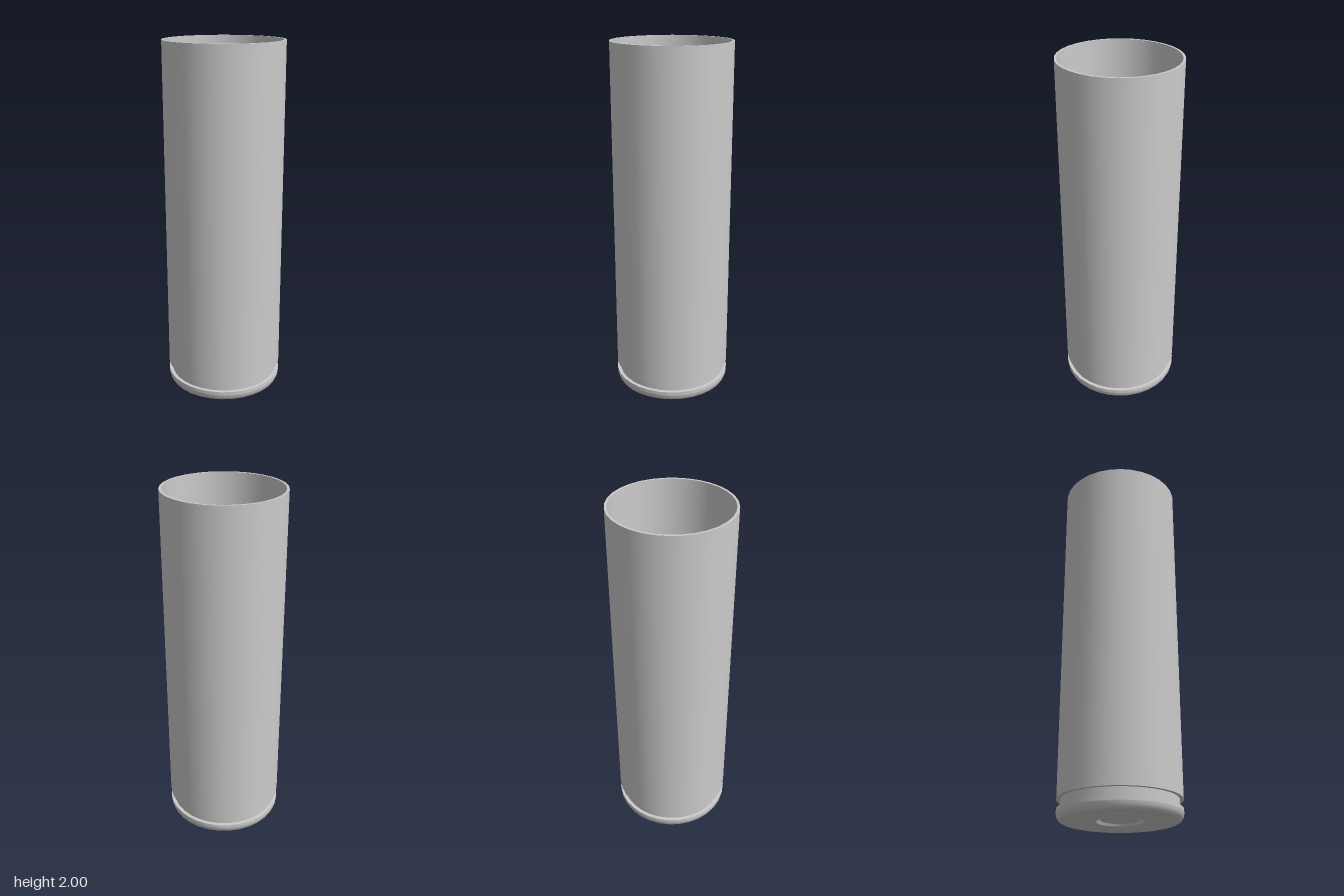
import * as THREE from 'three';
import { mergeGeometries } from 'three/addons/utils/BufferGeometryUtils.js';

const SIDES = 32;

// Revolve several profile runs; each run is smooth, with a sharp edge between runs.
function revolve(name, runs) {
  const material = new THREE.MeshStandardMaterial({ color: 0xcccccc, side: THREE.DoubleSide });
  const parts = runs.map((run) =>
    new THREE.LatheGeometry(run.map(([r, y]) => new THREE.Vector2(r, y)), SIDES));
  const mesh = new THREE.Mesh(mergeGeometries(parts), material);
  mesh.name = name;
  return mesh;
}

export function createModel() {
  const group = new THREE.Group();
  group.name = 'cartridgeCase';

  // Primer cup with a dimple struck into its centre
  group.add(revolve('primer', [
    [[0, 0.025], [0.035, 0.02], [0.06, 0.008]],
    [[0.06, 0.008], [0.1, 0.008]],
    [[0.1, 0.008], [0.115, 0.022]],
  ]));

  // Flat base around the primer, with a fine seam ring
  group.add(revolve('base', [
    [[0.115, 0.022], [0.125, 0]],
    [[0.125, 0], [0.2, 0]],
    [[0.2, 0], [0.204, 0.004], [0.208, 0]],
    [[0.208, 0], [0.31, 0]],
  ]));

  // Rim with rounded lower edge, then the extractor groove
  group.add(revolve('rim', [
    [[0.31, 0], [0.322, 0.008], [0.33, 0.025], [0.333, 0.04]],
    [[0.333, 0.04], [0.333, 0.06]],
    [[0.333, 0.06], [0.313, 0.06]],
  ]));
  group.add(revolve('extractorGroove', [
    [[0.313, 0.06], [0.313, 0.11]],
    [[0.313, 0.11], [0.333, 0.11]],
  ]));

  // Long straight wall and the mouth
  group.add(revolve('outerWall', [[[0.333, 0.11], [0.333, 2]]]));
  group.add(revolve('mouth', [[[0.333, 2], [0.32, 2]]]));

  // Inside wall, thickening toward the floor
  group.add(revolve('innerWall', [
    [[0.32, 2], [0.305, 0.3]],
    [[0.305, 0.3], [0.3, 0.2], [0.28, 0.13]],
  ]));

  // Raised ring on the inner floor and the seat in its middle
  group.add(revolve('innerFloor', [
    [[0.28, 0.13], [0.268, 0.16], [0.24, 0.185], [0.2, 0.195], [0.165, 0.185], [0.142, 0.16], [0.13, 0.12]],
    [[0.13, 0.12], [0.1, 0.135]],
    [[0.1, 0.135], [0, 0.135]],
  ]));

  return group;
}
